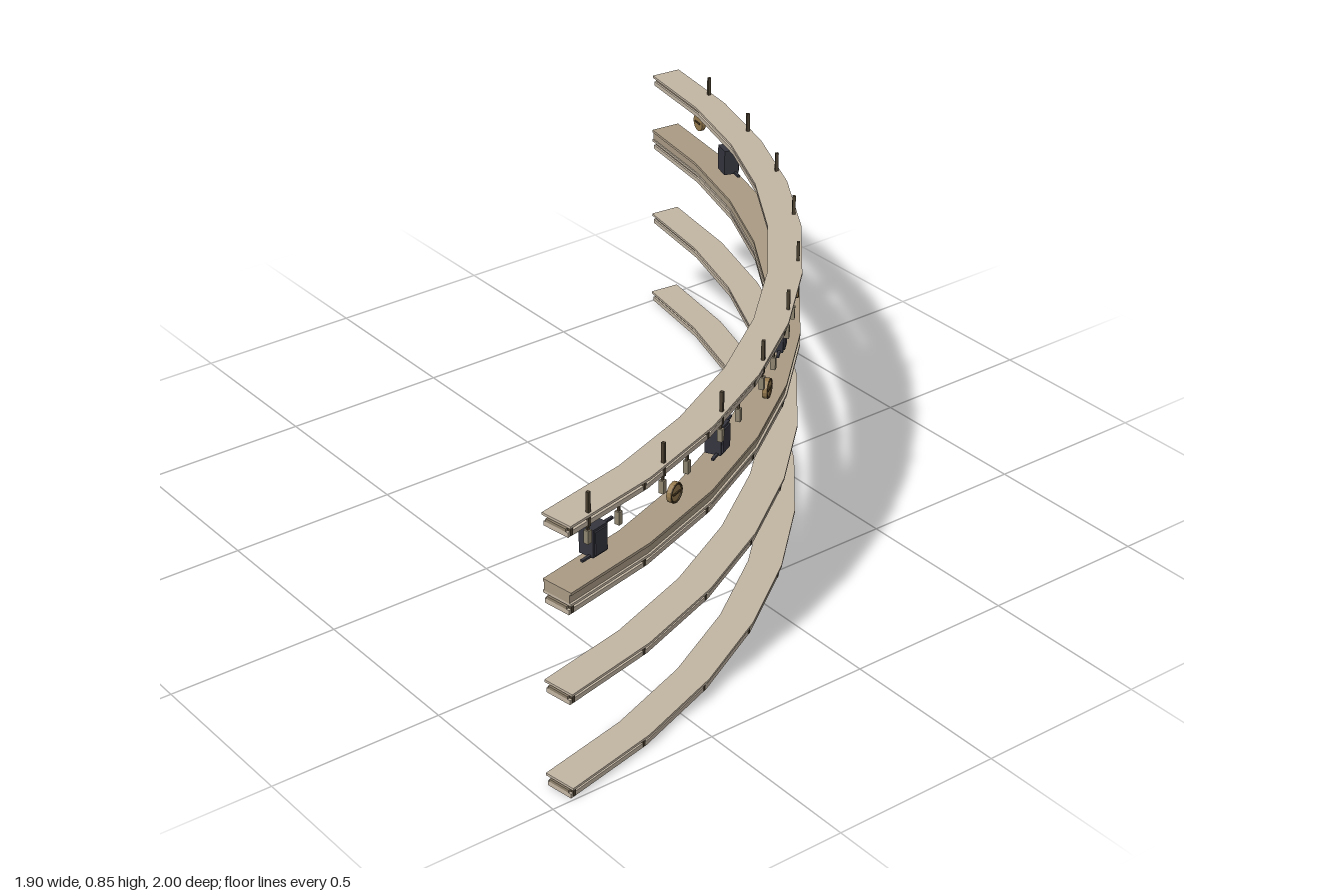
import * as THREE from 'three';

const RAD = Math.PI / 180;
const CX = -1.29, CZ = -1.2256;          // centre of the arc
const R_IN = 2.158, R_OUT = 2.253;       // inner and outer edge of the rails
const START = 81, STEP = 7.5, COUNT = 10; // straight bays along the arc, in degrees

const mat = (color) => new THREE.MeshStandardMaterial({ color, flatShading: true });
const railMat = mat(0xc2b5a3), capMat = mat(0xa99a84), edgeMat = mat(0x8d7f6b);
const rodMat = mat(0x4a4030), clampMat = mat(0x8f8570), boxMat = mat(0x34353e);
const discMat = mat(0x94794e), discDark = mat(0x4d3d25);

function mesh(name, geometry, material, x = 0, y = 0, z = 0) {
  const m = new THREE.Mesh(geometry, material);
  m.name = name;
  m.position.set(x, y, z);
  return m;
}

// Put an object on the arc, with its local +z pointing outwards
function place(object, deg, r, y) {
  const a = deg * RAD;
  object.position.set(CX + r * Math.cos(a), y, CZ + r * Math.sin(a));
  object.rotation.y = Math.PI / 2 - a;
  return object;
}

// Faceted arc band between two radii and two heights
function band(name, r0, r1, y0, y1, material) {
  const pts = [];
  const add = (r, i) => {
    const a = (START - STEP * i) * RAD;
    pts.push(new THREE.Vector2(CX + r * Math.cos(a), CZ + r * Math.sin(a)));
  };
  for (let i = 0; i <= COUNT; i++) add(r0, i);
  for (let i = COUNT; i >= 0; i--) add(r1, i);
  const g = new THREE.ExtrudeGeometry(new THREE.Shape(pts), { depth: y1 - y0, bevelEnabled: false });
  g.rotateX(Math.PI / 2);
  return mesh(name, g, material, 0, y1, 0);
}

// Rail: lower flange, recessed web, row of spacers and top plate
function rail(y) {
  const g = new THREE.Group();
  g.name = 'curvedRail';
  g.add(
    band('lowerFlange', R_IN + 0.006, R_OUT - 0.008, 0, 0.013, railMat),
    band('web', R_IN + 0.012, R_OUT - 0.016, 0.013, 0.021, edgeMat),
    band('topPlate', R_IN, R_OUT, 0.027, 0.034, railMat),
  );
  const spacer = new THREE.BoxGeometry(0.022, 0.006, 0.07);
  const perBay = 6;
  for (let i = 0; i < COUNT * perBay; i++) {
    const deg = START - STEP * (i + 0.5) / perBay;
    g.add(place(mesh('spacer', spacer, edgeMat), deg, 2.203, 0.024));
  }
  // joint plates between the bays
  const joint = new THREE.BoxGeometry(0.008, 0.025, 0.02);
  for (let i = 0; i <= COUNT; i++) {
    const deg = START - STEP * i + (i === 0 ? -0.3 : 0.3);
    g.add(place(mesh('jointPlate', joint, rodMat), deg, R_OUT - 0.017, 0.0145));
  }
  g.position.y = y;
  return g;
}

// Hanger under the top rail: clamp with a short stem
function hanger() {
  const g = new THREE.Group();
  g.name = 'hanger';
  g.add(
    mesh('clamp', new THREE.BoxGeometry(0.014, 0.036, 0.014), clampMat, 0, 0.723, 0),
    mesh('stem', new THREE.BoxGeometry(0.006, 0.02, 0.006), rodMat, 0, 0.75, 0),
  );
  return g;
}

// Dark box lamp with a bar at the top and at the bottom
function boxLamp() {
  const g = new THREE.Group();
  g.name = 'boxLamp';
  const bar = new THREE.BoxGeometry(0.034, 0.006, 0.008);
  g.add(
    mesh('lampBody', new THREE.BoxGeometry(0.054, 0.078, 0.045), boxMat),
    mesh('lampFront', new THREE.BoxGeometry(0.044, 0.066, 0.006), boxMat, 0, 0, 0.024),
    mesh('topBar', bar, boxMat, 0.04, 0.034, 0.012),
    mesh('bottomBar', bar, boxMat, -0.04, -0.036, 0.012),
  );
  return g;
}

// Round lamp facing outwards
function roundLamp() {
  const g = new THREE.Group();
  g.name = 'roundLamp';
  const disc = (r, d) => new THREE.CylinderGeometry(r, r, d, 16).rotateX(Math.PI / 2);
  g.add(
    mesh('disc', disc(0.028, 0.012), discMat),
    mesh('rim', new THREE.TorusGeometry(0.025, 0.003, 6, 16), discDark, 0, 0, 0.006),
    mesh('crossBar', new THREE.BoxGeometry(0.03, 0.005, 0.018), discDark),
  );
  return g;
}

export function createModel() {
  const model = new THREE.Group();
  model.name = 'curvedLightingRails';
  for (const y of [0, 0.28, 0.54, 0.757]) model.add(rail(y));

  // raised cap on the third rail
  model.add(
    band('raisedCap', R_IN + 0.004, R_OUT - 0.006, 0.574, 0.598, capMat),
    band('capLip', R_IN, R_OUT, 0.598, 0.606, capMat),
  );

  // each bay has one rod, two hangers and a lamp between them
  const rod = new THREE.BoxGeometry(0.009, 0.095, 0.009);
  for (let i = 0; i < COUNT; i++) {
    const deg = START - 1.95 - STEP * i;
    model.add(
      place(mesh('rod', rod, rodMat), deg, 2.238, 0.8),
      place(hanger(), deg, 2.236, 0),
      place(hanger(), deg - 2.9, 2.236, 0),
      i % 2 === 0
        ? place(boxLamp(), deg - 1.55, 2.2, 0.678)
        : place(roundLamp(), deg - 1.4, 2.235, 0.678),
    );
  }
  return model;
}
